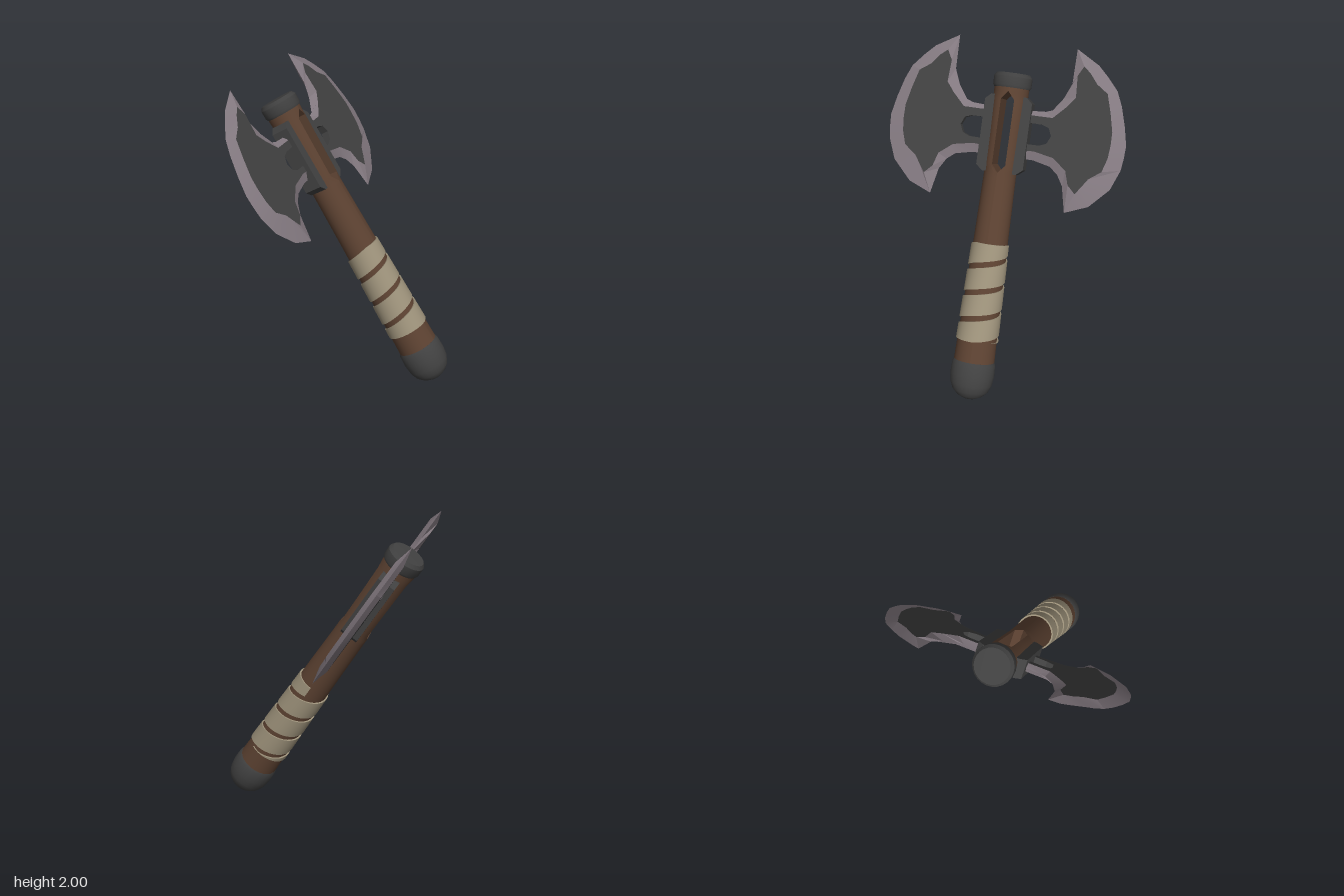
import * as THREE from 'three';
import { toCreasedNormals } from 'three/addons/utils/BufferGeometryUtils.js';

const mat = (name, color, side = THREE.FrontSide) => {
  const m = new THREE.MeshStandardMaterial({ color, side });
  m.name = name;
  return m;
};

// Surface through rows of points, with edges sharper than the crease angle kept
function grid(rows, closed, crease) {
  const pos = [];
  for (let i = 0; i < rows.length - 1; i++) {
    const n = rows[i].length;
    for (let j = 0; j < (closed ? n : n - 1); j++) {
      const k = (j + 1) % n;
      const a = rows[i][j], b = rows[i + 1][j], c = rows[i + 1][k], d = rows[i][k];
      for (const p of [a, b, c, a, c, d]) pos.push(...p);
    }
  }
  const g = new THREE.BufferGeometry();
  g.setAttribute('position', new THREE.Float32BufferAttribute(pos, 3));
  g.computeVertexNormals();
  return toCreasedNormals(g, crease);
}

// Plate lying in the blade plane from [y, z] points, centred on x = 0
function plate(points, thickness) {
  const shape = new THREE.Shape(points.map(([y, z]) => new THREE.Vector2(-z, y)));
  const g = new THREE.ExtrudeGeometry(shape, { depth: thickness, bevelEnabled: false });
  return g.translate(0, 0, -thickness / 2).rotateY(Math.PI / 2);
}

const lathe = (pts) => toCreasedNormals(
  new THREE.LatheGeometry(pts.map(([r, y]) => new THREE.Vector2(r, y)), 24), 0.6);

// Linear interpolation through [y, value] stations
function along(table, y) {
  for (let i = 0; i < table.length - 1; i++) {
    const [y0, v0] = table[i], [y1, v1] = table[i + 1];
    if (y <= y1) return v0 + (v1 - v0) * Math.max(0, (y - y0) / (y1 - y0));
  }
  return table[table.length - 1][1];
}
const RADIUS = [[-1.53, 0.134], [-1.1, 0.122], [-0.7, 0.112], [-0.3, 0.105], [0, 0.108], [0.3, 0.113]];
const SLOT = [[-0.27, 0], [-0.22, 0.043], [0.2, 0.043], [0.25, 0]];

// One blade: [edge y, edge z, face y, face z] from lower bar round to upper bar
const BLADE = [
  [-0.163, 0.1, -0.11, 0.1], [-0.163, 0.2, -0.105, 0.2], [-0.188, 0.311, -0.13, 0.33],
  [-0.23, 0.365, -0.2, 0.419], [-0.3, 0.408, -0.287, 0.446], [-0.467, 0.445, -0.338, 0.498],
  [-0.407, 0.593, -0.285, 0.535], [-0.281, 0.713, -0.232, 0.57], [-0.15, 0.763, -0.175, 0.647],
  [-0.07, 0.772, -0.087, 0.673], [0.008, 0.775, 0, 0.68], [0.127, 0.749, 0.083, 0.678],
  [0.25, 0.712, 0.2, 0.65], [0.341, 0.672, 0.316, 0.615], [0.42, 0.602, 0.366, 0.542],
  [0.486, 0.534, 0.43, 0.49], [0.572, 0.384, 0.467, 0.444], [0.354, 0.382, 0.404, 0.411],
  [0.253, 0.341, 0.265, 0.42], [0.165, 0.278, 0.202, 0.371], [0.155, 0.24, 0.121, 0.291],
  [0.146, 0.1, 0.12, 0.1],
];

export function createModel() {
  const wood = mat('brown wood', 0x5a4030);
  const cloth = mat('beige cloth', 0x9a8f78, THREE.DoubleSide);
  const iron = mat('dark iron', 0x404040);
  const steel = mat('pale steel', 0x82787f, THREE.DoubleSide);

  const axe = new THREE.Group();
  axe.name = 'axe';
  const add = (name, geometry, material, turn = 0) => {
    const m = new THREE.Mesh(geometry, material);
    m.name = name;
    m.rotation.y = turn;
    axe.add(m);
  };

  // Handle half, cut back from the middle where the slot runs through
  const stations = [-1.53, -1.1, -0.7, -0.3, -0.27, -0.22, 0, 0.2, 0.25, 0.3];
  const rows = stations.map((y) => {
    const r = along(RADIUS, y), a0 = Math.asin(along(SLOT, y) / r), row = [];
    for (let i = 0; i <= 14; i++) {
      const a = a0 + (Math.PI - 2 * a0) * i / 14;
      row.push([r * Math.cos(a), y, r * Math.sin(a)]);
    }
    return row;
  });
  const handleHalf = grid(rows, true, 0.6);

  // Bevelled cutting edge around a flat face with a slot between two bars
  const h = 0.027;
  const face = (x) => BLADE.map((p) => [x, p[2], p[3]]);
  const bevel = grid([face(-h), BLADE.map((p) => [0, p[0], p[1]]), face(h)], false, 0.2);
  const slot = [[0.072, 0.1], [0.07, 0.23], [0.055, 0.275], [0.005, 0.297],
    [-0.045, 0.275], [-0.064, 0.23], [-0.066, 0.1]];
  const bladeFace = plate([...BLADE.map((p) => [p[2], p[3]]), ...slot], 2 * h);

  // Side plate clamping a blade to the handle
  const mount = plate([[-0.27, 0.07], [-0.27, 0.11], [-0.235, 0.153],
    [0.19, 0.153], [0.225, 0.115], [0.225, 0.07]], 0.12);

  for (const [side, turn] of [['left', 0], ['right', Math.PI]]) {
    add(side + 'HandleHalf', handleHalf, wood, turn);
    add(side + 'BladeEdge', bevel, steel, turn);
    add(side + 'BladeFace', bladeFace, iron, turn);
    add(side + 'Mount', mount, iron, turn);
  }

  // Cloth strip wound round the grip
  const wrap = [], pitch = 0.175, perTurn = 28;
  for (let i = Math.round(-2.6 * perTurn); i <= 1.5 * perTurn; i++) {
    const t = i / perTurn, a = t * Math.PI * 2, mid = -0.996 + pitch * t;
    const lo = THREE.MathUtils.clamp(mid - 0.069, -1.37, -0.73);
    const hi = THREE.MathUtils.clamp(mid + 0.069, -1.37, -0.73);
    wrap.push([[lo, -0.004], [lo, 0.01], [hi, 0.01], [hi, -0.004]].map(([y, out]) => {
      const r = along(RADIUS, y) + out;
      return [r * Math.sin(a), y, r * Math.cos(a)];
    }));
  }
  add('gripWrap', grid(wrap, false, 0.6), cloth);

  // End caps
  add('pommel', lathe([[0, -1.768], [0.045, -1.762], [0.085, -1.742], [0.118, -1.708],
    [0.138, -1.66], [0.145, -1.6], [0.142, -1.525], [0.134, -1.508], [0.1, -1.508]]), iron);
  add('topCap', lathe([[0.1, 0.275], [0.116, 0.275], [0.124, 0.29], [0.124, 0.345],
    [0.108, 0.368], [0, 0.372]]), iron);

  // Lean the whole axe
  const up = new THREE.Vector3(-0.535, 0.842, 0.066).normalize();
  const across = new THREE.Vector3(0.136, 0.013, 0.991);
  const flat = new THREE.Vector3().crossVectors(up, across).normalize();
  across.crossVectors(flat, up);
  axe.quaternion.setFromRotationMatrix(new THREE.Matrix4().makeBasis(flat, up, across));
  axe.position.set(-0.325, 1.52, 0);

  const model = new THREE.Group();
  model.name = 'doubleAxe';
  model.add(axe);
  return model;
}
